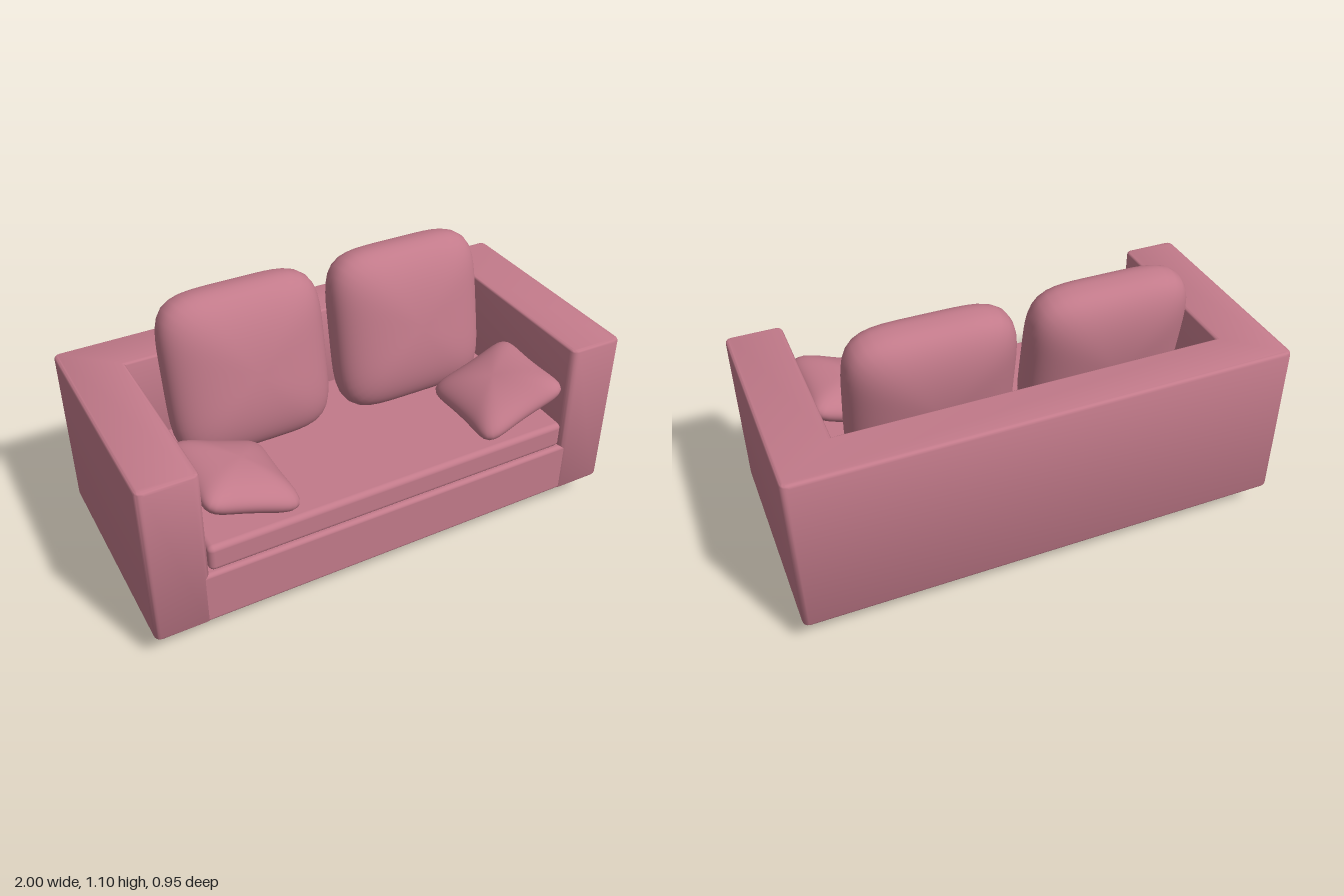
import * as THREE from 'three';
import { mergeVertices, toCreasedNormals } from 'three/addons/utils/BufferGeometryUtils.js';
import { RoundedBoxGeometry } from 'three/addons/geometries/RoundedBoxGeometry.js';

const fabric = new THREE.MeshStandardMaterial({ name: 'rose fabric', color: 0xc27a8a });

function add(parent, name, geometry, x, y, z) {
  const mesh = new THREE.Mesh(geometry, fabric);
  mesh.name = name;
  mesh.position.set(x, y, z);
  parent.add(mesh);
  return mesh;
}

// Soft pillow: a sphere reshaped to a rounded-square outline (n) with a domed section (e);
// pinch pulls the middle of each side inwards.
function pillow(halfW, halfH, halfD, n, e, pinch = 0) {
  const sphere = new THREE.SphereGeometry(1, 64, 40).rotateX(Math.PI / 2);
  sphere.deleteAttribute('uv');
  sphere.deleteAttribute('normal');
  const geometry = mergeVertices(sphere, 1e-5);
  const p = geometry.attributes.position;
  for (let i = 0; i < p.count; i++) {
    let x = p.getX(i), y = p.getY(i), z = p.getZ(i);
    const flat = Math.hypot(x, y);
    const outline = Math.pow(Math.abs(x) ** n + Math.abs(y) ** n, 1 / n);
    if (outline > 1e-6) { x *= flat / outline; y *= flat / outline; }
    const section = Math.pow(flat ** e + Math.abs(z) ** e, 1 / e);
    x /= section; y /= section; z /= section;
    const px = x * (1 - pinch * (1 - y * y));
    const py = y * (1 - pinch * (1 - x * x));
    p.setXYZ(i, px * halfW, py * halfH, z * halfD);
  }
  geometry.computeVertexNormals();
  return geometry;
}

// Plan of the arms and back: a U open to the front, with rounded outer corners
function frameGeometry(bevel) {
  const r = 0.03;
  const corners = [
    [-1, -0.467, r], [-0.773, -0.467, r], [-0.773, 0.28, 0], [0.773, 0.28, 0],
    [0.773, -0.467, r], [1, -0.467, r], [1, 0.48, r], [-1, 0.48, r],
  ];
  const shape = new THREE.Shape();
  corners.forEach(([x, y, radius], i) => {
    const toward = ([tx, ty]) => {
      const length = Math.hypot(tx - x, ty - y);
      return [x + (tx - x) / length * radius, y + (ty - y) / length * radius];
    };
    const start = toward(corners[(i + 7) % 8]);
    const end = toward(corners[(i + 1) % 8]);
    if (i === 0) shape.moveTo(...start); else shape.lineTo(...start);
    if (radius) shape.quadraticCurveTo(x, y, ...end);
  });
  shape.closePath();
  const geometry = new THREE.ExtrudeGeometry(shape, {
    depth: 0.69 - 2 * bevel, bevelThickness: bevel, bevelSize: bevel,
    bevelOffset: -bevel, bevelSegments: 4, curveSegments: 6,
  });
  return toCreasedNormals(geometry.rotateX(-Math.PI / 2), 0.7);
}

export function createModel() {
  const sofa = new THREE.Group();
  sofa.name = 'sofa';

  // Body
  const bevel = 0.014;
  add(sofa, 'armsAndBack', frameGeometry(bevel), 0, 0.115 + bevel, 0);
  add(sofa, 'base', new RoundedBoxGeometry(1.92, 0.228, 0.926, 4, 0.016), 0, 0.23, 0.003);
  add(sofa, 'seatCushion', new RoundedBoxGeometry(1.54, 0.112, 0.735, 4, 0.022), 0, 0.404, 0.093);

  const backShape = pillow(0.33, 0.335, 0.155, 5, 2.4);
  const throwShape = pillow(0.205, 0.215, 0.085, 6, 2, 0.08);
  for (const side of [-1, 1]) {
    // Back cushions lean backwards
    const back = add(sofa, 'backCushion', backShape, side * 0.355, 0.776, -0.115);
    back.rotation.x = -0.19;

    // Throw pillows lie on the seat, propped against the arms
    const prop = add(sofa, 'throwPillow', throwShape, side * 0.578, 0.573, 0.26);
    prop.rotation.set(-Math.PI / 2, side * -0.36, 0);

    // Legs
    for (const z of [-0.27, 0.26]) {
      add(sofa, 'leg', new RoundedBoxGeometry(0.134, 0.15, 0.122, 4, 0.015), side * 0.759, 0.078, z);
    }
  }
  return sofa;
}
